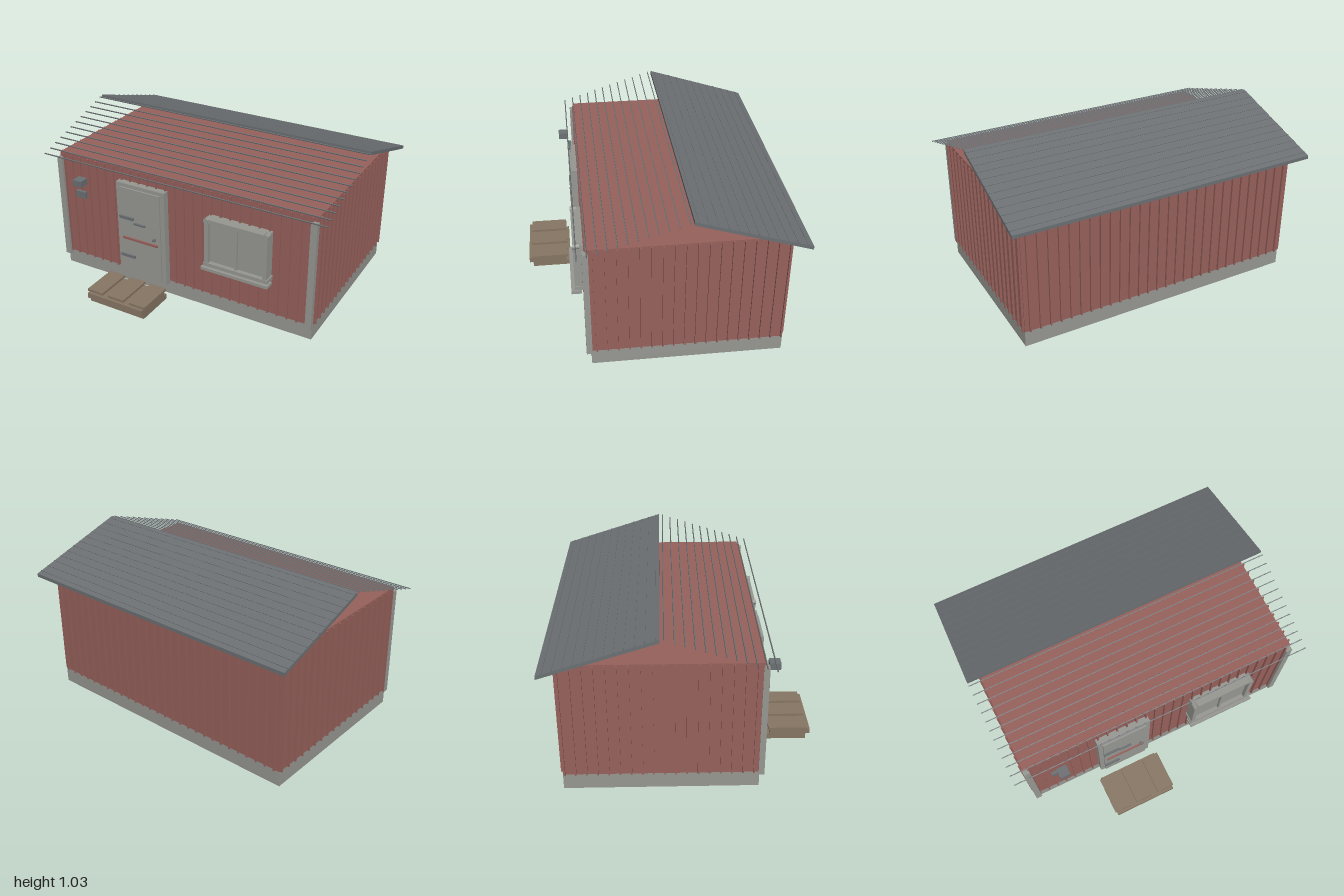
import * as THREE from 'three';

export function createModel() {
  const model = new THREE.Group();
  model.name = 'cabin';

  const mat = (name, color) => {
    const m = new THREE.MeshStandardMaterial({ color });
    m.name = name;
    return m;
  };
  const red = mat('red cladding', 0x97615b);
  const trim = mat('grey trim', 0x979792);
  const metal = mat('dark grey metal', 0x6b7073);
  const wood = mat('brown wood', 0x877664);

  const group = (name) => {
    const g = new THREE.Group();
    g.name = name;
    model.add(g);
    return g;
  };
  // Box given by its limits on each axis
  const box = (parent, name, material, [x0, x1], [y0, y1], [z0, z1]) => {
    const mesh = new THREE.Mesh(new THREE.BoxGeometry(x1 - x0, y1 - y0, z1 - z0), material);
    mesh.position.set((x0 + x1) / 2, (y0 + y1) / 2, (z0 + z1) / 2);
    mesh.name = name;
    parent.add(mesh);
    return mesh;
  };

  const W = 0.92, FRONT = 0.44, BACK = -0.72;

  // Base and walls
  box(model, 'foundation', trim, [-W, W], [0, 0.1], [BACK, FRONT]);
  box(model, 'walls', red, [-W, W], [0.1, 0.84], [BACK, FRONT]);

  // Vertical battens on all four walls
  const battens = group('battens');
  const step = 0.0657, h = 0.0045, deep = 0.014, tall = [0.1, 0.835];
  for (let i = 0; i < 28; i++) {
    const x = (i - 13.5) * step;
    box(battens, 'frontBatten', red, [x - h, x + h], tall, [FRONT, FRONT + deep]);
    box(battens, 'backBatten', red, [x - h, x + h], tall, [BACK - deep, BACK]);
  }
  for (let i = 0; i < 18; i++) {
    const z = FRONT - (i + 0.5) * step;
    box(battens, 'leftBatten', red, [W, W + deep], tall, [z - h, z + h]);
    box(battens, 'rightBatten', red, [-W - deep, -W], tall, [z - h, z + h]);
  }

  // Front corner boards
  for (const s of [-1, 1])
    box(model, 'cornerBoard', trim, s < 0 ? [-0.925, -0.885] : [0.885, 0.925], [0.08, 0.81], [0.435, 0.47]);

  // Rear roof slope: a sheared slab, cut vertically at ridge and eave
  const roof = group('roof');
  const RIDGE = -0.14, slope = 0.318, len = 0.675;
  const slab = new THREE.BoxGeometry(2, 0.022, len);
  const p = slab.attributes.position;
  for (let i = 0; i < p.count; i++) p.setY(i, p.getY(i) + slope * p.getZ(i));
  slab.computeVertexNormals();
  const panel = new THREE.Mesh(slab, metal);
  panel.name = 'rearRoofPanel';
  panel.position.set(0, 1.024 - slope * len / 2, RIDGE - len / 2);
  roof.add(panel);

  // Horizontal ribs on both slopes
  for (let i = 0; i < 12; i++) {
    const d = 0.024 + i * 0.0561, y = 1.034 - 0.317 * d;
    for (const s of [-1, 1]) {
      const z = RIDGE + s * d;
      const rib = box(roof, s > 0 ? 'frontRib' : 'rearRib', metal,
        [-1, 1], [y - 0.003, y + 0.003], [z - 0.003, z + 0.003]);
      rib.rotation.x = s * Math.atan(slope);
    }
  }

  // Door with casing, straps, pull, knob and red rail
  const door = group('door');
  box(door, 'leftCasing', trim, [-0.115, -0.085], [0.085, 0.755], [0.44, 0.485]);
  box(door, 'rightCasing', trim, [-0.445, -0.415], [0.085, 0.755], [0.44, 0.485]);
  box(door, 'topCasing', trim, [-0.415, -0.115], [0.73, 0.755], [0.44, 0.485]);
  box(door, 'doorLeaf', trim, [-0.415, -0.115], [0.1, 0.73], [0.44, 0.496]);
  for (const y of [0.24, 0.521])
    box(door, 'hingeStrap', metal, [-0.417, -0.312], [y - 0.009, y + 0.009], [0.49, 0.508]);
  box(door, 'doorPull', metal, [-0.308, -0.225], [0.486, 0.498], [0.49, 0.508]);
  box(door, 'knob', metal, [-0.164, -0.146], [0.41, 0.422], [0.49, 0.518]);
  box(door, 'doorRail', red, [-0.398, -0.133], [0.364, 0.379], [0.49, 0.506]);

  // Window with frame, mullion, corner blocks and sill
  const win = group('window');
  box(win, 'pane', trim, [0.24, 0.62], [0.37, 0.66], [0.44, 0.49]);
  box(win, 'rightPost', trim, [0.218, 0.246], [0.36, 0.67], [0.44, 0.515]);
  box(win, 'leftPost', trim, [0.614, 0.642], [0.36, 0.67], [0.44, 0.515]);
  box(win, 'topRail', trim, [0.22, 0.64], [0.652, 0.676], [0.44, 0.512]);
  box(win, 'bottomRail', trim, [0.212, 0.65], [0.348, 0.376], [0.44, 0.518]);
  box(win, 'mullion', trim, [0.422, 0.438], [0.37, 0.66], [0.48, 0.506]);
  box(win, 'sill', trim, [0.205, 0.662], [0.332, 0.352], [0.475, 0.538]);
  for (const x of [0.23, 0.63]) {
    const block = new THREE.Mesh(new THREE.CylinderGeometry(0.018, 0.018, 0.04, 8), trim);
    block.rotation.x = Math.PI / 2;
    block.position.set(x, 0.665, 0.497);
    block.name = 'cornerBlock';
    win.add(block);
  }

  // Wall lamp and switch box
  box(model, 'wallLamp', metal, [-0.732, -0.667], [0.685, 0.727], [0.495, 0.561]);
  box(model, 'switchBox', metal, [-0.77, -0.692], [0.567, 0.615], [0.475, 0.495]);

  // Wooden doorstep
  const porch = group('doorstep');
  box(porch, 'lowerBoard', wood, [-0.47, -0.06], [0.02, 0.057], [0.53, 0.79]);
  box(porch, 'upperBoard', wood, [-0.472, -0.057], [0.057, 0.094], [0.56, 0.815]);
  for (const x of [-0.426, -0.266, -0.106])
    box(porch, 'tread', wood, [x - 0.058, x + 0.058], [0.094, 0.111], [0.548, 0.796]);

  return model;
}
